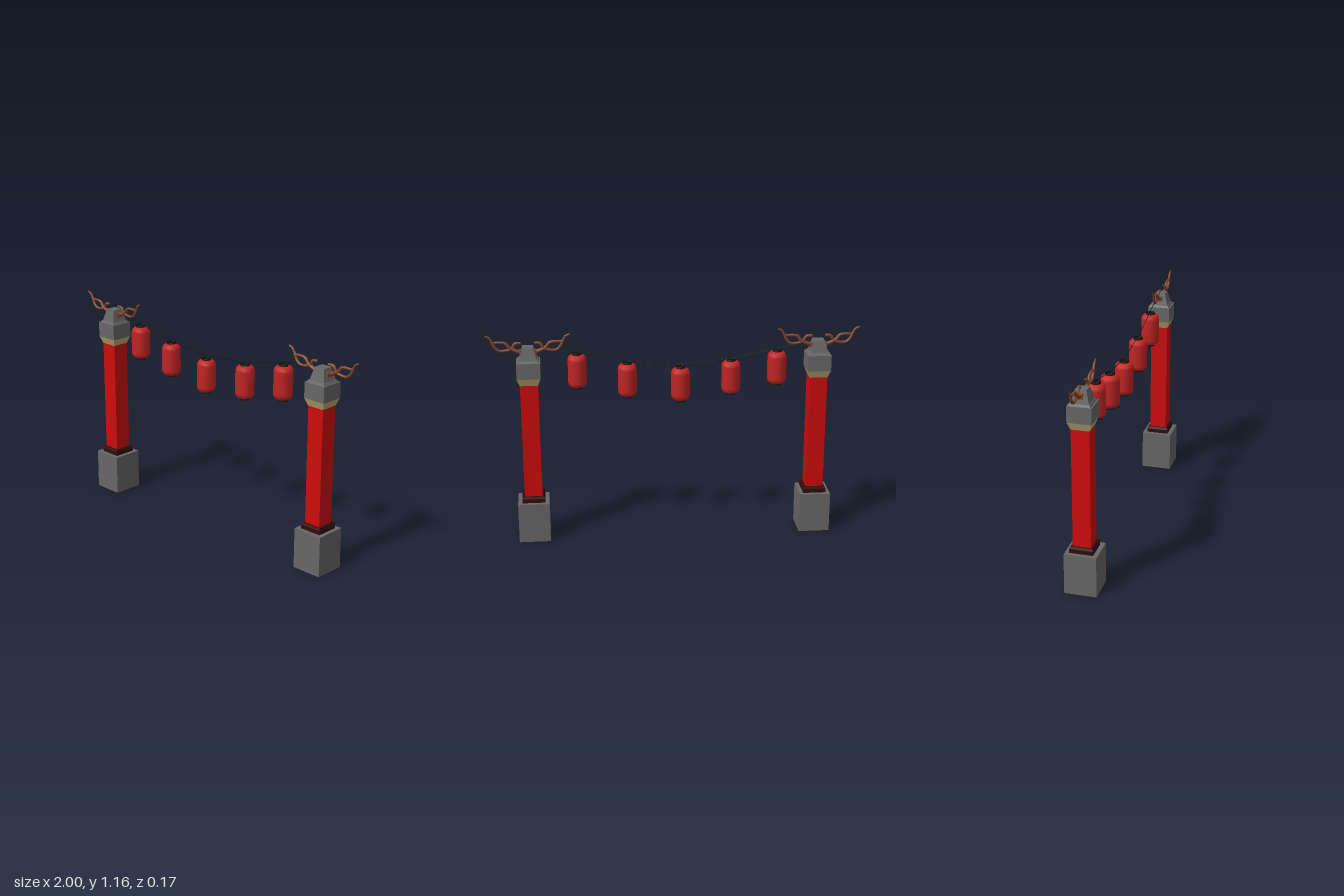
import * as THREE from 'three';

const mat = (name, color, extra = {}) => {
  const m = new THREE.MeshStandardMaterial({ color, ...extra });
  m.name = name;
  return m;
};

export function createModel() {
  const flat = { flatShading: true };
  const stone = mat('grey stone', 0x666666, flat);
  const postRed = mat('post red', 0xcc0c0c, flat);
  const cream = mat('cream', 0xb8a470, flat);
  const maroon = mat('dark maroon', 0x340a0c, flat);
  const branch = mat('branch brown', 0x80452a);
  const paper = mat('lantern red', 0xc22424, { side: THREE.DoubleSide });
  const black = mat('black', 0x141414, { side: THREE.DoubleSide });

  const root = new THREE.Group();
  root.name = 'lanternGate';

  const add = (parent, name, geo, material) => {
    const mesh = new THREE.Mesh(geo, material);
    mesh.name = name;
    parent.add(mesh);
    return mesh;
  };

  // Square block from y0 to y1 with its own bottom and top widths
  const block = (parent, name, y0, y1, w0, w1, material) => {
    const geo = new THREE.CylinderGeometry(w1 * Math.SQRT1_2, w0 * Math.SQRT1_2, y1 - y0, 4);
    geo.rotateY(Math.PI / 4).translate(0, (y0 + y1) / 2, 0);
    return add(parent, name, geo, material);
  };

  // Tube whose radius shrinks from r0 to r1 along the path
  const taperedTube = (points, r0, r1) => {
    const curve = new THREE.CatmullRomCurve3(points.map(p => new THREE.Vector3(...p)));
    const segments = 28, sides = 8;
    const geo = new THREE.TubeGeometry(curve, segments, 1, sides);
    const pos = geo.attributes.position, v = new THREE.Vector3();
    for (let i = 0; i < pos.count; i++) {
      const t = Math.floor(i / (sides + 1)) / segments;
      const c = curve.getPointAt(t);
      v.fromBufferAttribute(pos, i).sub(c).multiplyScalar(r0 + (r1 - r0) * t).add(c);
      pos.setXYZ(i, v.x, v.y, v.z);
    }
    geo.computeVertexNormals();
    return geo;
  };

  // Two strands that cross and close into a loop, pointing outward from the post
  const mainStrand = [[0.02, 1.055], [0.06, 1.07], [0.095, 1.088], [0.115, 1.112], [0.15, 1.118],
    [0.18, 1.118], [0.2, 1.145], [0.222, 1.155]];
  const loopStrand = [[0.034, 1.112], [0.065, 1.11], [0.085, 1.082], [0.115, 1.073], [0.15, 1.073],
    [0.172, 1.092], [0.188, 1.125]];

  for (const side of [-1, 1]) {
    const post = new THREE.Group();
    post.name = side > 0 ? 'leftPost' : 'rightPost';
    post.position.x = side * 0.775;
    root.add(post);

    block(post, 'base', 0, 0.222, 0.17, 0.17, stone);
    block(post, 'footRing', 0.222, 0.244, 0.124, 0.124, maroon);
    block(post, 'footRingBevel', 0.244, 0.256, 0.124, 0.114, maroon);
    block(post, 'column', 0.25, 0.892, 0.095, 0.095, postRed);
    block(post, 'collar', 0.89, 0.93, 0.096, 0.125, cream);
    block(post, 'cap', 0.93, 1.015, 0.126, 0.126, stone);
    block(post, 'capStep', 1.015, 1.026, 0.112, 0.1, stone);
    block(post, 'capTop', 1.026, 1.092, 0.092, 0.058, stone);

    for (const dir of [-1, 1]) {
      const path = pts => pts.map(([d, y]) => [d * dir, y, 0]);
      const socket = add(post, 'branchSocket', new THREE.BoxGeometry(0.03, 0.026, 0.03), branch);
      socket.position.set(dir * 0.031, 1.063, 0);
      add(post, 'branch', taperedTube(path(mainStrand), 0.011, 0.005), branch);
      add(post, 'branchLoop', taperedTube(path(loopStrand), 0.008, 0.007), branch);
    }
  }

  // Sagging cord, straight between its hanging points
  const cordPoints = [[-0.7, 1.078], [-0.553, 1.046], [-0.305, 0.997], [-0.033, 0.973],
    [0.252, 0.997], [0.518, 1.056], [0.7, 1.1]];
  const cord = new THREE.CurvePath();
  for (let i = 1; i < cordPoints.length; i++) {
    cord.add(new THREE.LineCurve3(new THREE.Vector3(...cordPoints[i - 1], 0), new THREE.Vector3(...cordPoints[i], 0)));
  }
  cord.curves.forEach(c => add(root, 'cord', new THREE.TubeGeometry(c, 1, 0.0018, 5), black));

  // Hollow lanterns, open at both ends
  const lathe = pts => new THREE.LatheGeometry(pts.map(p => new THREE.Vector2(...p)), 10);
  const bodyGeo = lathe([[0.024, 0.008], [0.04, 0.013], [0.049, 0.024], [0.052, 0.038],
    [0.052, 0.158], [0.049, 0.172], [0.04, 0.183], [0.024, 0.188]]);
  const rimGeo = lathe([[0.022, 0], [0.026, 0], [0.026, 0.012], [0.022, 0.012], [0.022, 0]]);
  const lanterns = [[-0.553, 0.843], [-0.305, 0.797], [-0.033, 0.764], [0.252, 0.796], [0.518, 0.854]];
  for (const [x, y] of lanterns) {
    const lantern = new THREE.Group();
    lantern.name = 'lantern';
    lantern.position.set(x, y, 0);
    root.add(lantern);
    add(lantern, 'lanternBody', bodyGeo, paper);
    add(lantern, 'bottomRim', rimGeo, black);
    add(lantern, 'topRim', rimGeo, black).position.y = 0.185;
    // short tie between rim and cord
    add(lantern, 'tie', new THREE.BoxGeometry(0.004, 0.016, 0.004), black).position.y = 0.2;
    add(lantern, 'tieBar', new THREE.BoxGeometry(0.046, 0.004, 0.004), black).position.y = 0.194;
  }
  return root;
}
